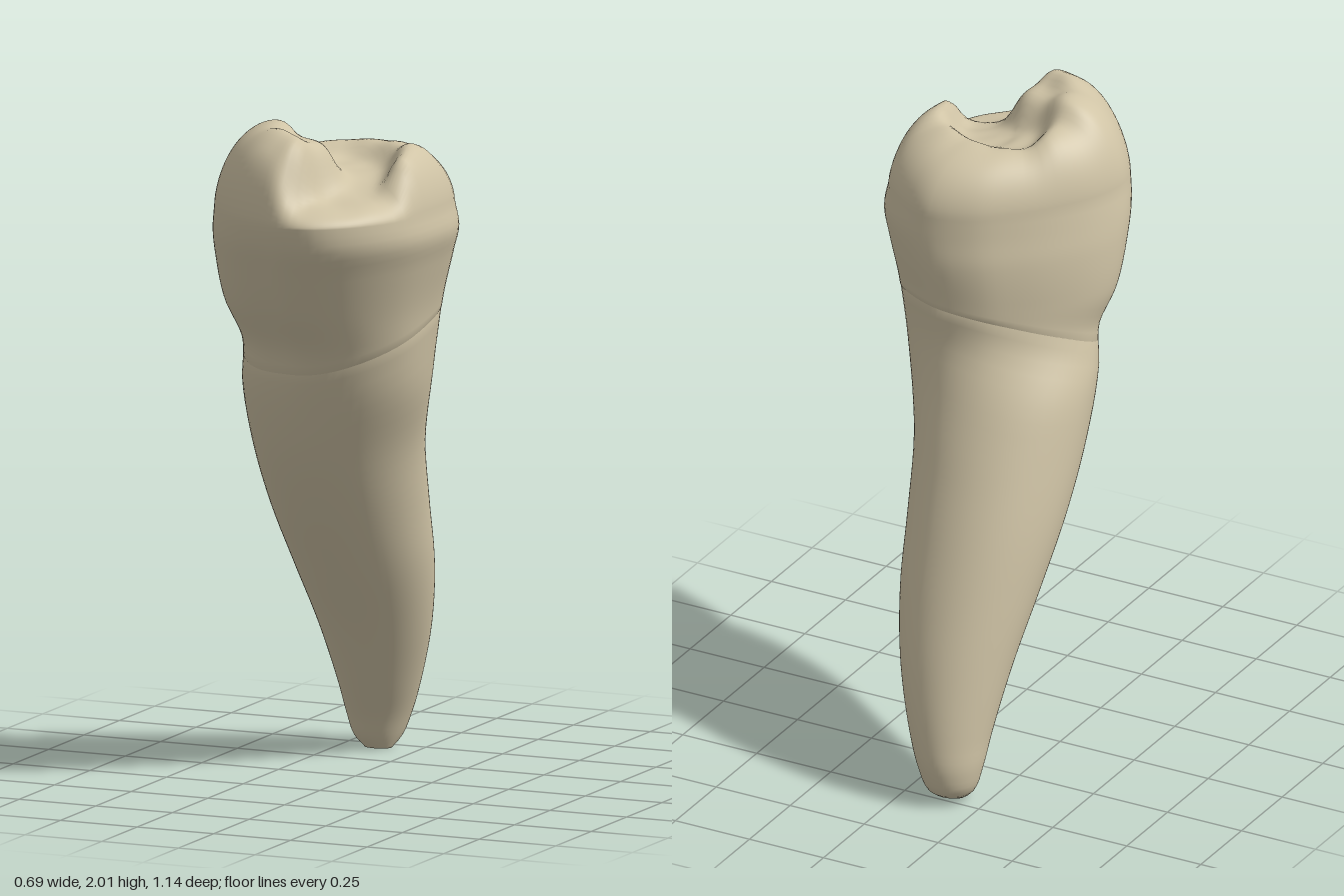
import * as THREE from 'three';
import { mergeVertices } from 'three/addons/utils/BufferGeometryUtils.js';

const SIDES = 72;
const RIM = 1.75; // height where the walls turn into the biting surface

// Extents by height: y, left x, right x, back z, front z
const PROFILE = [
  [0, -0.175, -0.09, -0.48, -0.42],
  [0.03, -0.208, -0.07, -0.535, -0.395],
  [0.1, -0.23, -0.04, -0.565, -0.36],
  [0.2, -0.24, 0.0, -0.565, -0.3],
  [0.4, -0.265, 0.07, -0.53, -0.175],
  [0.6, -0.295, 0.12, -0.47, -0.035],
  [0.8, -0.32, 0.148, -0.395, 0.1],
  [1.0, -0.33, 0.18, -0.31, 0.215],
  [1.2, -0.327, 0.24, -0.225, 0.3],
  [1.33, -0.305, 0.262, -0.19, 0.345],
  [1.45, -0.338, 0.28, -0.195, 0.425],
  [1.6, -0.347, 0.32, -0.21, 0.51],
  [1.68, -0.342, 0.343, -0.208, 0.552],
  [1.75, -0.33, 0.332, -0.202, 0.57],
];
const extents = new THREE.CubicInterpolant(
  PROFILE.map((r) => r[0]), PROFILE.flatMap((r) => r.slice(1)), 4);

// Crown outline seen from above (x, z), counter-clockwise from the front
const OUTLINE = [
  [0.02, 0.57], [0.12, 0.55], [0.23, 0.45], [0.31, 0.3], [0.34, 0.11],
  [0.33, 0], [0.28, -0.11], [0.16, -0.2], [0.08, -0.22], [-0.05, -0.18],
  [-0.15, -0.1], [-0.25, 0.01], [-0.32, 0.12], [-0.35, 0.22],
  [-0.34, 0.29], [-0.29, 0.38], [-0.19, 0.48], [-0.07, 0.54],
];
const outlineCurve = new THREE.CatmullRomCurve3(
  OUTLINE.map(([x, z]) => new THREE.Vector3((x + 0.005) / 0.345, 0, (z - 0.175) / 0.395)), true);
const UNIT = Array.from({ length: SIDES }, (_, i) => outlineCurve.getPoint(i / SIDES));

// Cusps, ridges, fossa and groove of the biting surface: x, z, height
const RELIEF = [
  [-0.08, 0.38, 2.03], [-0.03, 0.43, 2.02], [-0.1, 0.5, 2.04],
  [-0.17, 0.25, 2.02], [-0.18, 0.12, 1.97], [-0.02, 0.31, 1.97],
  [-0.1, -0.02, 1.93], [0.05, -0.05, 1.93], [0.17, -0.01, 1.94],
  [0.27, 0.1, 1.98], [0.28, 0.2, 1.98],
  [-0.06, 0.12, 1.89], [0.03, 0.13, 1.87], [0.1, 0.16, 1.86], [0.15, 0.23, 1.84],
  [0.18, 0.34, 1.82], [0.13, 0.42, 1.81], [0.25, 0.35, 1.83], [0.1, 0.5, 1.82],
];
function reliefHeight(x, z) {
  let sum = 0, total = 0;
  for (const [px, pz, h] of RELIEF) {
    const w = 1 / ((x - px) ** 2 + (z - pz) ** 2 + 0.004) ** 2.5;
    sum += w * h;
    total += w;
  }
  return sum / total;
}

// Point on the tooth wall: elliptical root changing into the crown outline
function wallPoint(i, y, scale = 1) {
  const p = UNIT[i];
  const [x0, x1, z0, z1] = extents.evaluate(y);
  const k = THREE.MathUtils.smoothstep(y, 1.12, 1.46);
  const len = Math.hypot(p.x, p.z);
  const u = THREE.MathUtils.lerp(p.x / len, p.x, k) * scale;
  const v = THREE.MathUtils.lerp(p.z / len, p.z, k) * scale;
  return [(x0 + x1) / 2 + (u * (x1 - x0)) / 2, y, (z0 + z1) / 2 + (v * (z1 - z0)) / 2];
}

// Neck line, low at the front and higher at the back
const neckHeight = (i) => 1.35 + 0.04 * UNIT[i].x - 0.09 * UNIT[i].z;

// Skin closed rings of points, from bottom to top
function loft(rings) {
  const index = [];
  for (let j = 0; j < rings.length - 1; j++) {
    for (let i = 0; i < SIDES; i++) {
      const n = (i + 1) % SIDES;
      const a = j * SIDES + i, b = j * SIDES + n;
      index.push(a, b, b + SIDES, a, b + SIDES, a + SIDES);
    }
  }
  const geometry = new THREE.BufferGeometry();
  geometry.setAttribute('position', new THREE.Float32BufferAttribute(rings.flat(2), 3));
  geometry.setIndex(index);
  const merged = mergeVertices(geometry, 1e-5);
  merged.computeVertexNormals();
  return merged;
}

const ring = (fn) => Array.from({ length: SIDES }, (_, i) => fn(i));

function rootGeometry() {
  const rings = [ring(() => [-0.13, 0, -0.45]), ring((i) => wallPoint(i, 0, 0.6))];
  const steps = 44;
  for (let j = 0; j <= steps; j++) {
    const t = (j / steps) ** 1.4; // finer rings at the tip
    rings.push(ring((i) => wallPoint(i, t * (neckHeight(i) + 0.01))));
  }
  rings.push(ring((i) => wallPoint(i, neckHeight(i) + 0.07, 0.9))); // tucked into the crown
  return loft(rings);
}

function crownGeometry() {
  const rings = [ring((i) => wallPoint(i, neckHeight(i) - 0.01, 0.975))];
  const steps = 18;
  for (let j = 0; j <= steps; j++) {
    const t = j / steps;
    rings.push(ring((i) =>
      wallPoint(i, THREE.MathUtils.lerp(neckHeight(i), RIM, t), 1.004)));
  }
  // Biting surface: domed edge over the relief
  const cx = 0, cz = 0.18, count = 28;
  for (let k = 1; k <= count; k++) {
    const s = 1 - (k / count) ** 1.7;
    rings.push(ring((i) => {
      const [wx, , wz] = wallPoint(i, RIM, 1.004);
      const x = cx + (wx - cx) * s, z = cz + (wz - cz) * s;
      return [x, RIM + (reliefHeight(x, z) - RIM) * (1 - s ** 4) ** 0.6, z];
    }));
  }
  return loft(rings);
}

export function createModel() {
  const ivory = new THREE.MeshStandardMaterial({ color: 0xd0c4a6 });
  ivory.name = 'ivory';

  const group = new THREE.Group();
  group.name = 'tooth';
  for (const [name, geometry] of [['root', rootGeometry()], ['crown', crownGeometry()]]) {
    const mesh = new THREE.Mesh(geometry, ivory);
    mesh.name = name;
    group.add(mesh);
  }
  return group;
}
